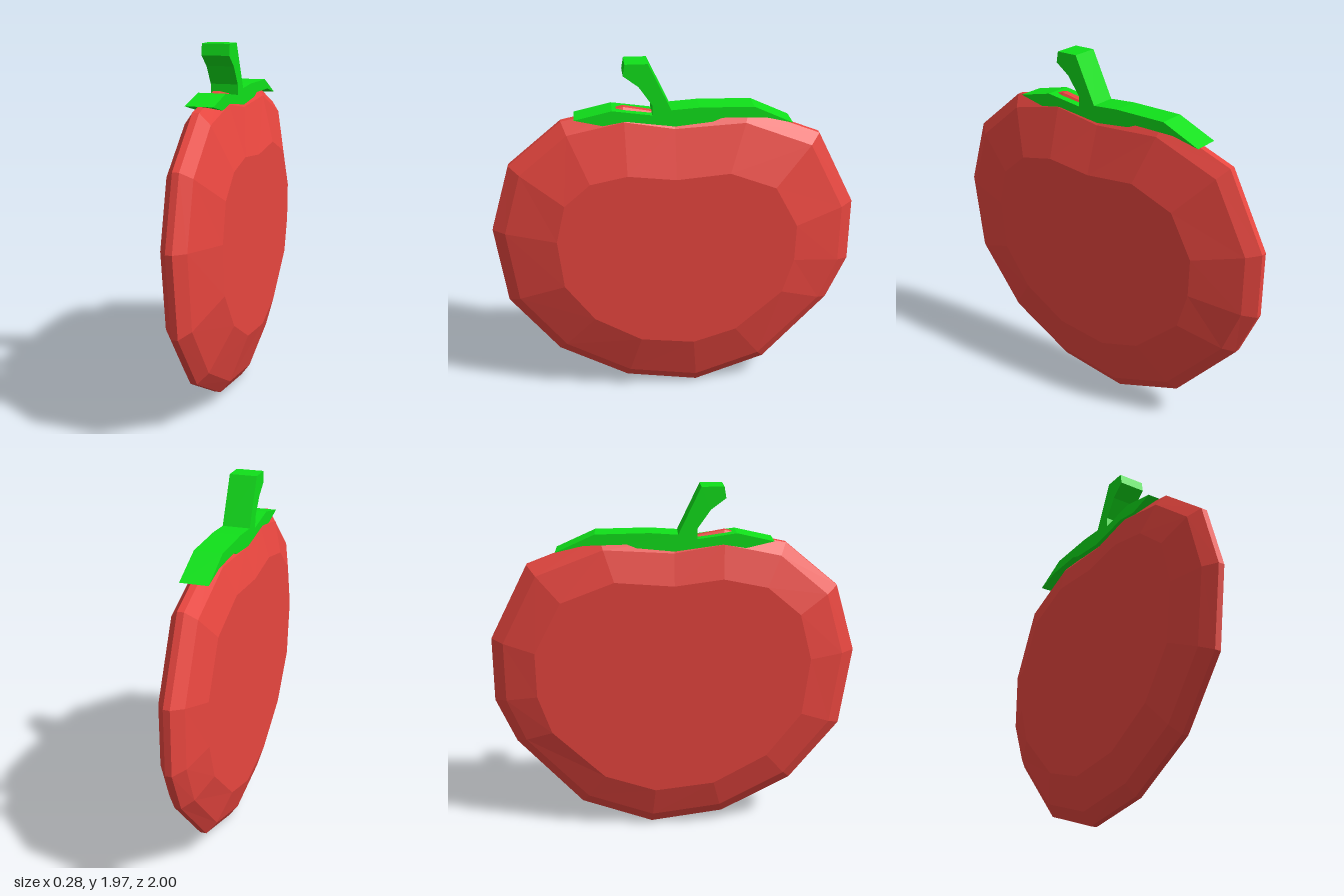
import * as THREE from 'three';

// Fruit outline as [z, y]: widest rim, and the smaller flat face
const RIM = [
  [-0.13, 0], [0.28, 0.06], [0.67, 0.27], [0.94, 0.61], [1, 1.05],
  [0.89, 1.42], [0.6, 1.66], [0.27, 1.73], [0, 1.68], [-0.4, 1.7],
  [-0.79, 1.55], [-1, 1.14], [-1, 0.78], [-0.89, 0.53], [-0.53, 0.14],
];
const FACE = [
  [-0.1, 0.345], [0.2, 0.38], [0.46, 0.53], [0.62, 0.745], [0.65, 1.02],
  [0.6, 1.23], [0.46, 1.35], [0.26, 1.39], [0, 1.36], [-0.29, 1.385],
  [-0.54, 1.29], [-0.665, 1.06], [-0.66, 0.85], [-0.6, 0.65], [-0.34, 0.42],
];
// Cross-sections from right to left: [x, blend from rim to face]
const SECTIONS = [[-0.14, 0.72], [-0.085, 0.2], [-0.035, 0], [0, 0], [0.05, 0.2], [0.135, 1]];

// Stem and leaves in one silhouette, [z, y]
const STALK = [
  [0.26, 1.97], [0.27, 1.91], [0.19, 1.85], [0.12, 1.75], [0.12, 1.695],
  [0.33, 1.725], [0.53, 1.68], [0.38, 1.645], [0.26, 1.665], [0, 1.63],
  [-0.2, 1.65], [-0.25, 1.67], [-0.48, 1.665], [-0.63, 1.63],
  [-0.42, 1.725], [-0.13, 1.73], [0.02, 1.72], [0.14, 1.97],
];

function fruitGeometry() {
  const n = RIM.length, last = SECTIONS.length - 1;
  const positions = [], index = [];
  for (const [x, t] of SECTIONS) {
    RIM.forEach(([z, y], i) => positions.push(
      x, THREE.MathUtils.lerp(y, FACE[i][1], t), THREE.MathUtils.lerp(z, FACE[i][0], t)));
  }
  // Centres of the two flat faces
  const rightCentre = positions.length / 3, leftCentre = rightCentre + 1;
  positions.push(SECTIONS[0][0], 0.88, 0, SECTIONS[last][0], 0.88, 0);
  for (let i = 0; i < n; i++) {
    const k = (i + 1) % n;
    for (let j = 0; j < last; j++) {
      const a = j * n + i, b = a + n, c = j * n + k, d = c + n;
      index.push(a, b, c, b, d, c);
    }
    index.push(rightCentre, i, k, leftCentre, last * n + k, last * n + i);
  }
  const g = new THREE.BufferGeometry();
  g.setAttribute('position', new THREE.Float32BufferAttribute(positions, 3));
  g.setIndex(index);
  const flat = g.toNonIndexed();
  flat.computeVertexNormals();
  return flat;
}

function stalkGeometry() {
  const shape = new THREE.Shape(STALK.map(([z, y]) => new THREE.Vector2(z, y)));
  return new THREE.ExtrudeGeometry(shape, { depth: 0.15, bevelEnabled: false })
    .rotateY(-Math.PI / 2)
    .translate(0.05, 0, 0);
}

export function createModel() {
  const model = new THREE.Group();
  const add = (name, geometry, color) => {
    const material = new THREE.MeshStandardMaterial({ color, flatShading: true });
    const mesh = new THREE.Mesh(geometry, material);
    mesh.name = name;
    model.add(mesh);
  };
  add('fruit', fruitGeometry(), 0xe8463f);
  add('stemAndLeaves', stalkGeometry(), 0x10e01a);
  return model;
}
